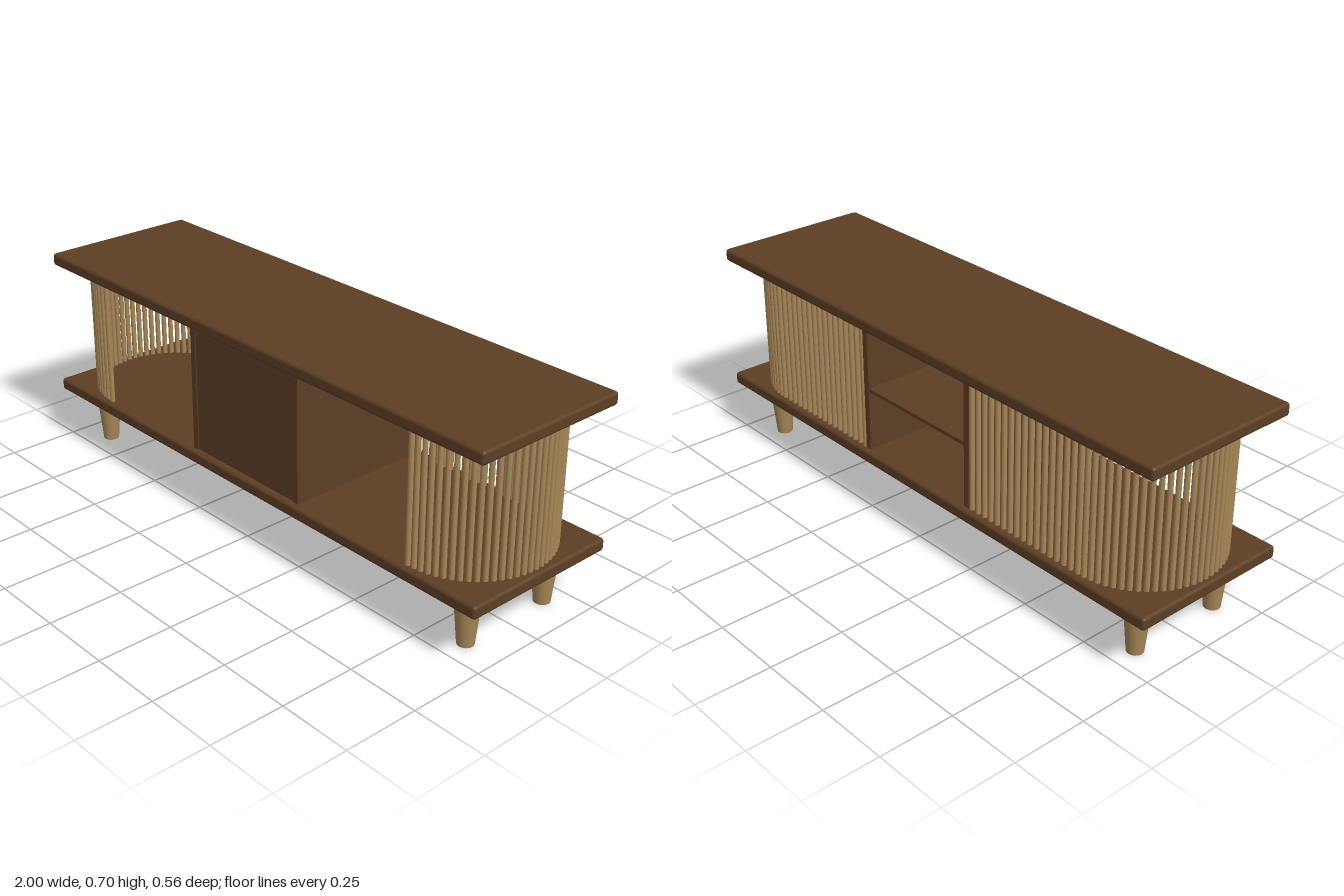
import * as THREE from 'three';
import { RoundedBoxGeometry } from 'three/addons/geometries/RoundedBoxGeometry.js';

export function createModel() {
  const model = new THREE.Group();
  model.name = 'slattedSideboard';
  const walnut = new THREE.MeshStandardMaterial({ color: 0x5c3e24 });
  walnut.name = 'dark walnut';
  const oak = new THREE.MeshStandardMaterial({ color: 0xa88858 });
  oak.name = 'light oak';

  function add(name, geometry, material, x, y, z, parent = model) {
    const mesh = new THREE.Mesh(geometry, material);
    mesh.name = name;
    mesh.position.set(x, y, z);
    parent.add(mesh);
    return mesh;
  }

  // Top and base boards with softened edges
  const board = new RoundedBoxGeometry(2, 0.043, 0.56, 3, 0.011);
  add('topBoard', board, walnut, 0, 0.6785, 0);
  add('baseBoard', board, walnut, 0, 0.2055, 0);

  // Centre cabinet: closed at the front, open at the back, one shelf
  const bottom = 0.227, height = 0.43, midY = bottom + height / 2;
  const cabinet = new THREE.Group();
  cabinet.name = 'centreCabinet';
  model.add(cabinet);
  const side = new THREE.BoxGeometry(0.022, height, 0.52);
  for (const s of [-1, 1]) add('sidePanel', side, walnut, s * 0.243, midY, 0, cabinet);
  add('frontPanel', new THREE.BoxGeometry(0.464, height, 0.02), walnut, 0, midY, 0.246, cabinet);
  add('shelf', new THREE.BoxGeometry(0.464, 0.012, 0.494), walnut, 0, midY, -0.011, cabinet);

  // Round slats: straight along the back, then a half circle round each end
  const slat = new THREE.CylinderGeometry(0.0085, 0.0085, height, 12);
  const bendX = 0.72, bendR = 0.255, straightCount = 16, bendCount = 34;
  for (const s of [-1, 1]) {
    const screen = new THREE.Group();
    screen.name = s > 0 ? 'leftSlatScreen' : 'rightSlatScreen';
    model.add(screen);
    for (let i = 0; i < straightCount; i++) {
      const x = 0.264 + (bendX - 0.264) * i / straightCount;
      add('slat', slat, oak, s * x, midY, -bendR, screen);
    }
    for (let i = 0; i <= bendCount; i++) {
      const a = -Math.PI / 2 + Math.PI * i / bendCount;
      add('slat', slat, oak, s * (bendX + bendR * Math.cos(a)), midY, bendR * Math.sin(a), screen);
    }
  }

  // Tapered legs
  const leg = new THREE.CylinderGeometry(0.042, 0.027, 0.162, 24);
  for (const x of [-0.875, 0.875])
    for (const z of [-0.167, 0.167]) add('leg', leg, oak, x, 0.081, z);

  return model;
}
